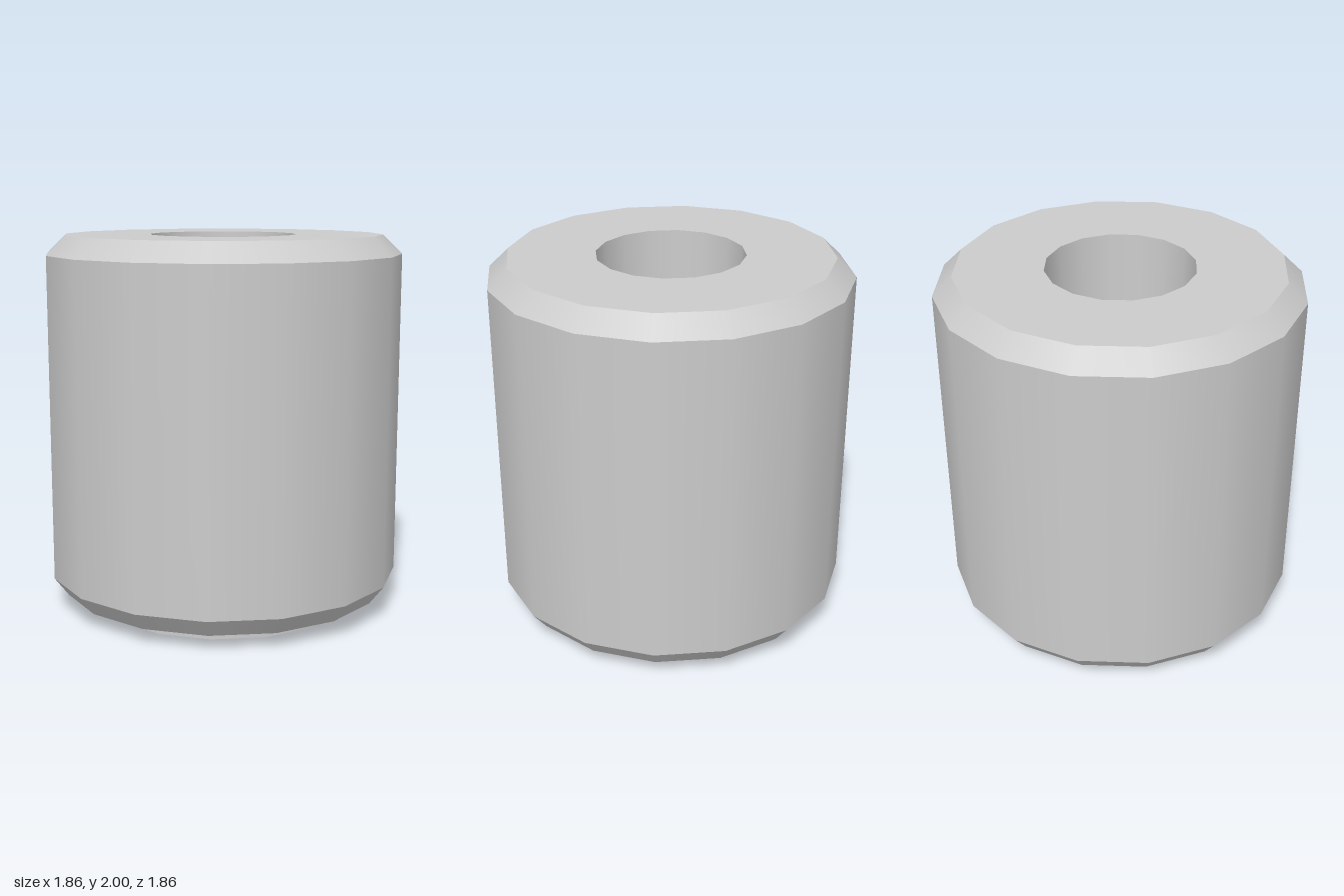
import * as THREE from 'three';
import { mergeGeometries } from 'three/addons/utils/BufferGeometryUtils.js';

const SIDES = 16;
const HALF_STEP = Math.PI / SIDES;

// Turned solid: one smooth band per profile segment, so profile corners stay sharp.
// Profile radii are measured across the flats, which face the x and z axes.
function turned(name, profile, material) {
  const points = profile.map(([r, y]) => new THREE.Vector2(r / Math.cos(HALF_STEP), y));
  const bands = points.slice(1).map((p, i) =>
    new THREE.LatheGeometry([points[i], p], SIDES, HALF_STEP));
  const mesh = new THREE.Mesh(mergeGeometries(bands), material);
  mesh.name = name;
  return mesh;
}

export function createModel() {
  const group = new THREE.Group();
  group.name = 'bushing';
  const material = new THREE.MeshStandardMaterial({ color: 0xcccccc });

  // Barrel with chamfered rims
  group.add(turned('body', [
    [0.70, 0.08], [0.855, 0.08], [0.93, 0.18], [0.93, 1.90], [0.83, 2.0], [0.38, 2.0],
  ], material));

  // Tapered blind hole down the middle
  group.add(turned('socket', [[0.38, 2.0], [0.355, 0.4], [0, 0.4]], material));

  // Narrow raised disc underneath
  group.add(turned('foot', [[0, 0], [0.70, 0], [0.70, 0.08]], material));

  return group;
}
